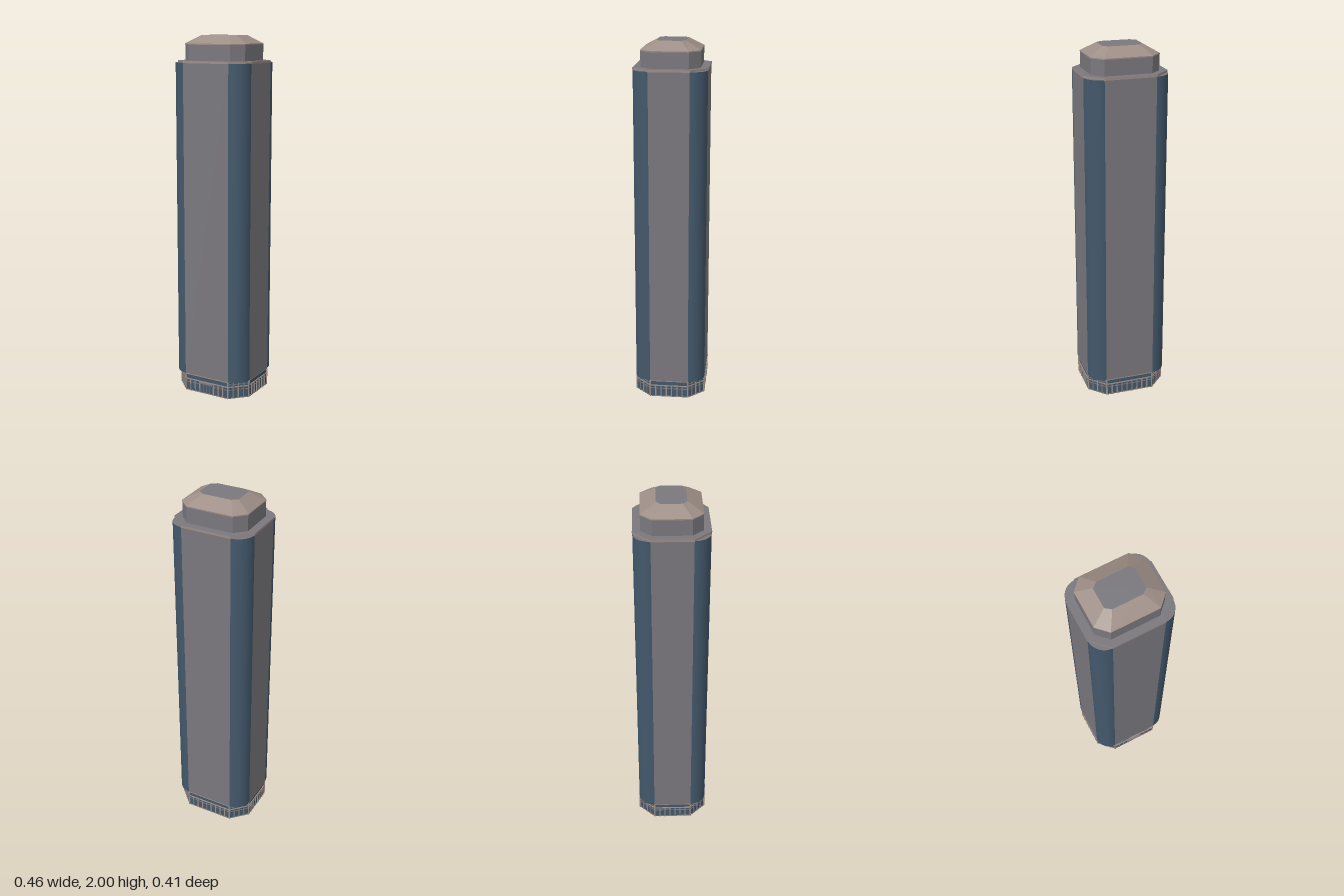
import * as THREE from 'three';

const material = (name, color, side = THREE.FrontSide) => {
  const m = new THREE.MeshStandardMaterial({ color, side });
  m.name = name;
  return m;
};

// Chamfered rectangle: half sizes hx, hz and half lengths of the flat edges fx, fz.
const octagon = (hx, hz, fx, fz) => [
  [hx, -fz], [hx, fz], [fx, hz], [-fx, hz],
  [-hx, fz], [-hx, -fz], [-fx, -hz], [fx, -hz],
];

// Flat-sided loft between two rings; optional caps. Groups: 0 sides, 1 caps.
function loft(lower, y0, upper, y1, top = true, bottom = true) {
  const sides = [], caps = [];
  lower.forEach((a, i) => {
    const j = (i + 1) % lower.length;
    const A = [a[0], y0, a[1]], B = [lower[j][0], y0, lower[j][1]];
    const C = [upper[j][0], y1, upper[j][1]], D = [upper[i][0], y1, upper[i][1]];
    sides.push(...A, ...D, ...B, ...B, ...D, ...C);
    if (top) caps.push(0, y1, 0, ...C, ...D);
    if (bottom) caps.push(0, y0, 0, ...A, ...B);
  });
  const g = new THREE.BufferGeometry();
  g.setAttribute('position', new THREE.Float32BufferAttribute([...sides, ...caps], 3));
  g.addGroup(0, sides.length / 3, 0);
  g.addGroup(sides.length / 3, caps.length / 3, 1);
  g.computeVertexNormals();
  return g;
}

export function createModel() {
  const grey = material('grey stone', 0x7a787d);
  const blue = material('blue glass', 0x43586b);
  const openBlue = material('podium glass', 0x43586b, THREE.DoubleSide);
  const tan = material('tan trim', 0x9d8e86);

  const model = new THREE.Group();
  const tower = new THREE.Group();
  tower.name = 'tower';
  tower.position.z = -0.005;
  model.add(tower);

  const add = (name, geometry, mat, parent = tower) => {
    const mesh = new THREE.Mesh(geometry, mat);
    mesh.name = name;
    parent.add(mesh);
    return mesh;
  };
  const box = (name, size, pos, mat, parent) =>
    add(name, new THREE.BoxGeometry(...size), mat, parent).position.set(...pos);

  // Shaft with four curved glass corners
  const plan = octagon(0.227, 0.197, 0.14, 0.108);
  add('shaft', loft(plan, 0.1, plan, 1.855), [grey, grey]);
  for (let k = 0; k < 4; k++) {
    const corner = new THREE.CylinderGeometry(1, 1, 1.755, 8, 1, false, k * Math.PI / 2, Math.PI / 2);
    corner.scale(0.087, 1, 0.089);
    const sx = k < 2 ? 1 : -1, sz = k === 0 || k === 3 ? 1 : -1;
    add('curvedCorner', corner, [blue, grey, grey]).position.set(sx * 0.14, 0.9775, sz * 0.108);
  }

  // Roof edge and stepped crown
  const rim = octagon(0.229, 0.199, 0.141, 0.109);
  add('roofRim', loft(rim, 1.853, rim, 1.865), [tan, grey]);
  const crown = octagon(0.186, 0.158, 0.129, 0.1);
  add('crownWall', loft(crown, 1.865, crown, 1.951, false, false), grey);
  const eave = octagon(0.188, 0.159, 0.13, 0.1);
  add('crownEave', loft(eave, 1.949, eave, 1.955, false), tan);
  add('crownRoof', loft(eave, 1.955, octagon(0.11, 0.078, 0.08, 0.055), 2, true, false), [tan, grey]);

  // Hollow glazed podium
  const base = octagon(0.222, 0.193, 0.137, 0.106);
  add('podiumWall', loft(base, 0, base, 0.1, false, false), openBlue);

  // Frames on each podium face, in local x along the wall and z outwards
  base.forEach(([ax, az], i) => {
    const [bx, bz] = base[(i + 1) % 8];
    const length = Math.hypot(bx - ax, bz - az);
    const chamfer = i % 2 === 1;
    const front = i === 2;
    const face = new THREE.Group();
    face.name = chamfer ? 'podiumCorner' : 'podiumSide';
    face.position.set((ax + bx) / 2, 0, (az + bz) / 2);
    face.rotation.y = Math.atan2(bz - az, -(bx - ax)) + Math.PI;
    // Turn so that local z points away from the centre
    face.rotation.y = Math.atan2(bz - az, ax - bx);
    tower.add(face);

    box('cornice', [length, 0.005, 0.006], [0, 0.0975, 0.002], tan, face);
    box('plinth', [length, 0.004, 0.005], [0, 0.002, 0.001], grey, face);
    box('middleBand', [length, 0.005, 0.006], [0, 0.068, 0.002], tan, face);
    const bays = chamfer ? 4 : Math.round(length / 0.03);
    for (let k = 0; k <= bays; k++) {
      const x = -length / 2 + length * k / bays;
      if (front && Math.abs(x) < 0.04) continue;
      const edge = k === 0 || k === bays;
      const height = chamfer || edge ? 0.095 : 0.066;
      box('pilaster', [0.006, height, 0.007], [x, height / 2, 0.002], k % 2 && chamfer ? grey : tan, face);
      if (k === bays || (front && Math.abs(x + length / bays) < 0.04)) continue;
      const mid = x + length / bays / 2;
      box('windowRail', [length / bays, 0.003, 0.004], [mid, 0.05, 0.001], grey, face);
      if (chamfer) box('upperRail', [length / bays, 0.003, 0.004], [mid, 0.082, 0.001], grey, face);
    }
  });

  // Entrance canopy and doors
  box('canopy', [0.088, 0.007, 0.016], [0, 0.062, 0.2], grey);
  for (const x of [-0.04, -0.02, 0, 0.02, 0.04])
    box('doorFrame', [0.003, 0.059, 0.005], [x, 0.0295, 0.194], grey);

  return model;
}
